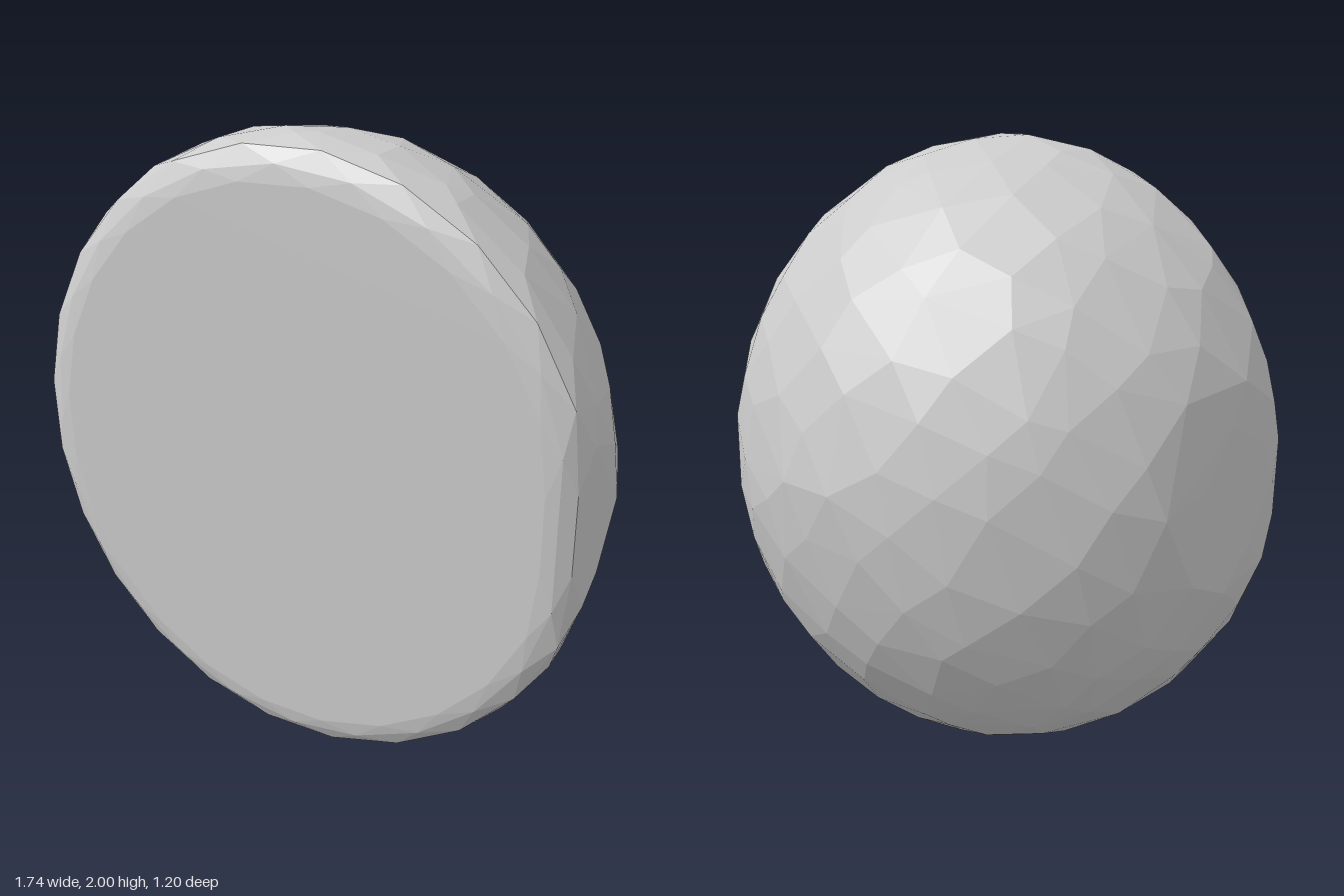
import * as THREE from 'three';
import { ConvexGeometry } from 'three/addons/geometries/ConvexGeometry.js';

const RX = 0.92, RY = 1, RZ = 0.89, CZ = 0.3; // ellipsoid radii and z centre
const SIDE = 0.87;                            // flattened left and right flanks
const faceZ = (x) => 0.442 - 0.214 * x;       // slanted flat front

// small seeded generator for uneven facets
function seeded(seed) {
  return () => (seed = (seed * 16807) % 2147483647) / 2147483647;
}

export function createModel() {
  const group = new THREE.Group();
  const rand = seeded(41);
  const points = [];
  const add = (x, y, z) =>
    points.push(new THREE.Vector3(THREE.MathUtils.clamp(x, -SIDE, SIDE), 1 + y, z));

  // domed back: jittered spiral of points over the ellipsoid
  const count = 330;
  for (let i = 0; i < count; i++) {
    const v = 1 - (2 * (i + 0.5)) / count;
    const a = i * Math.PI * (3 - Math.sqrt(5));
    const r = Math.sqrt(1 - v * v);
    const d = new THREE.Vector3(r * Math.cos(a), v, r * Math.sin(a));
    d.x += (rand() - 0.5) * 0.09;
    d.y += (rand() - 0.5) * 0.09;
    d.z += (rand() - 0.5) * 0.09;
    d.normalize();
    const z = CZ + RZ * d.z;
    if (z < faceZ(RX * d.x) - 0.15) add(RX * d.x, RY * d.y, z);
  }

  // rounded rim of the flat front: [depth behind the face, inset]
  const rim = [[0, 0.1], [0.01, 0.055], [0.04, 0.012], [0.1, 0]];
  const sides = 24;
  rim.forEach(([depth, inset], k) => {
    for (let i = 0; i < sides; i++) {
      const a = ((i + (k % 2 ? 0 : 0.5)) / sides) * Math.PI * 2;
      const z0 = faceZ(RX * Math.cos(a)) - depth;
      const s = Math.sqrt(1 - ((z0 - CZ) / RZ) ** 2) - inset;
      const x = THREE.MathUtils.clamp(RX * s * Math.cos(a), -SIDE + inset * 0.8, SIDE - inset * 0.8);
      add(x, RY * s * Math.sin(a), faceZ(x) - depth);
    }
  });

  // top, bottom and rearmost points
  for (const x of [-0.07, 0.05]) {
    add(x, 1, 0.3);
    add(x, -1, 0.3);
    add(x * 1.6, 0.05, -0.595);
  }

  const stone = new THREE.Mesh(
    new ConvexGeometry(points),
    new THREE.MeshStandardMaterial({ color: 0xcccccc, flatShading: true })
  );
  stone.name = 'domedStone';
  group.add(stone);
  return group;
}
